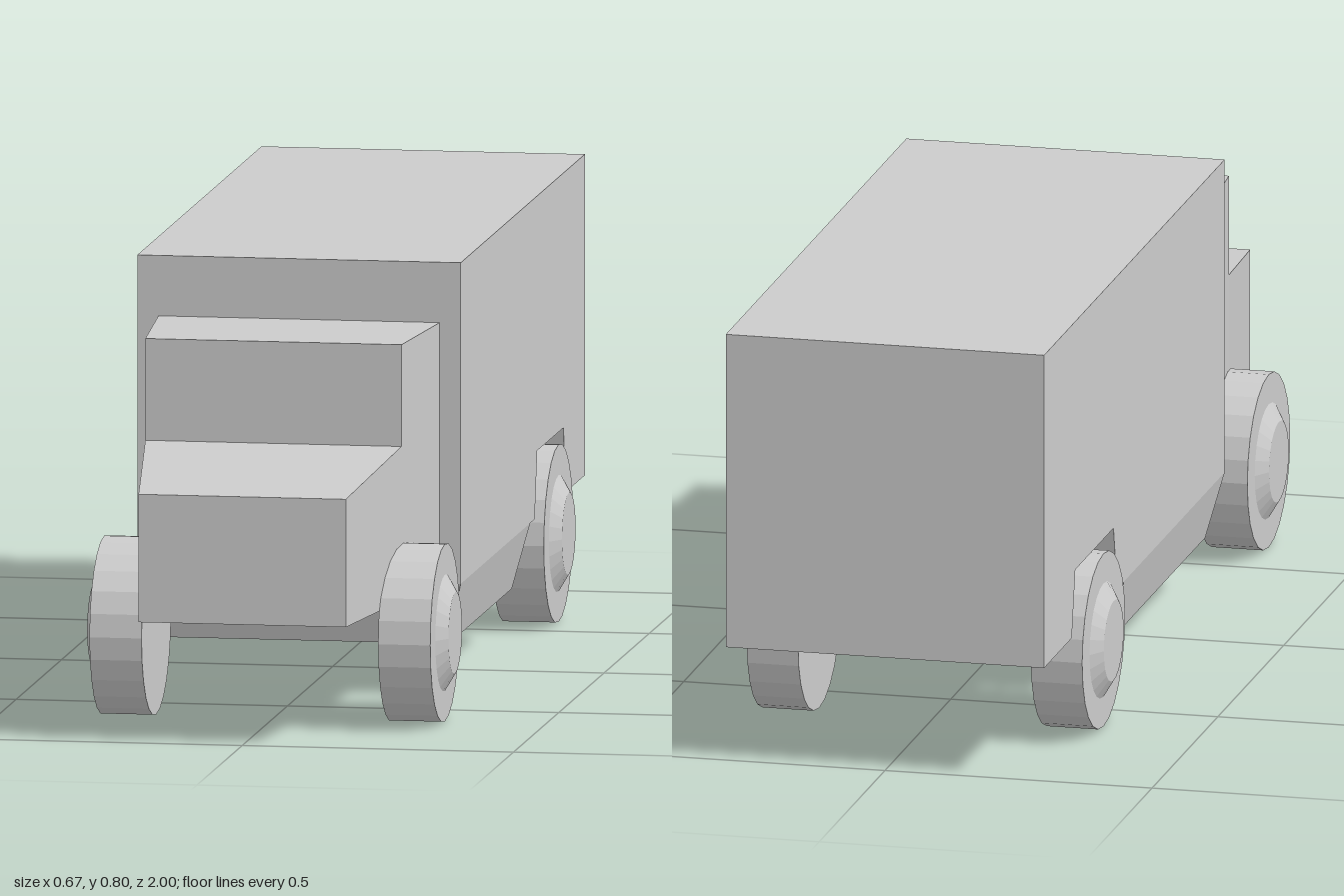
import * as THREE from 'three';

const material = new THREE.MeshStandardMaterial({ color: 0xcccccc, flatShading: true });

function part(name, geometry) {
  const mesh = new THREE.Mesh(geometry, material);
  mesh.name = name;
  return mesh;
}

// Six-sided block: every corner of a unit box is placed by a rule on its signs
function block(place) {
  const geometry = new THREE.BoxGeometry(2, 2, 2);
  const p = geometry.attributes.position;
  for (let i = 0; i < p.count; i++) {
    p.setXYZ(i, ...place(p.getX(i), p.getY(i) > 0, p.getZ(i) > 0));
  }
  geometry.computeVertexNormals();
  return geometry;
}

export function createModel() {
  const group = new THREE.Group();
  const halfWidth = 0.298;

  // Cargo box: side profile (z, y) with the rear wheel cutout, extruded across
  const profile = [
    [0.372, 0.213], [0.372, 0.803], [-1, 0.803], [-1, 0.213],
    [-0.79, 0.213], [-0.763, 0.335], [-0.473, 0.335], [-0.445, 0.213],
  ].map(([z, y]) => new THREE.Vector2(z, y));
  const cargo = new THREE.ExtrudeGeometry(new THREE.Shape(profile), {
    depth: halfWidth * 2, bevelEnabled: false,
  });
  cargo.rotateY(-Math.PI / 2).translate(halfWidth, 0, 0);
  group.add(part('cargoBox', cargo));

  // Tapered skirt beneath the cargo box
  group.add(part('underbodySkirt', block((sx, top, front) => [
    sx * (top ? halfWidth : 0.27),
    top ? 0.213 : 0.097,
    front ? (top ? 0.372 : 0.337) : (top ? -0.395 : -0.36),
  ])));

  // Cabin and hood, narrowing towards the front
  group.add(part('cabin', block((sx, top, front) => [
    sx * (front ? 0.236 : 0.259), top ? 0.692 : 0.222, front ? 0.655 : 0.372,
  ])));
  group.add(part('hood', block((sx, top, front) => [
    sx * (front ? 0.191 : 0.236),
    top ? (front ? 0.457 : 0.505) : 0.222,
    front ? 1 : 0.655,
  ])));

  // Wheels with raised conical hubs
  const radius = 0.163;
  const wheel = new THREE.LatheGeometry([
    [0, 0.218], [radius, 0.218], [radius, 0.314],
    [0.107, 0.314], [0.075, 0.333], [0, 0.333],
  ].map(([r, h]) => new THREE.Vector2(r, h)), 24);
  wheel.rotateZ(-Math.PI / 2);
  for (const [end, z] of [['front', 0.642], ['rear', -0.613]]) {
    for (const side of ['Left', 'Right']) {
      const mesh = part(`${end}${side}Wheel`, wheel);
      mesh.position.set(0, radius, z);
      if (side === 'Right') mesh.rotation.y = Math.PI;
      group.add(mesh);
    }
  }
  return group;
}
